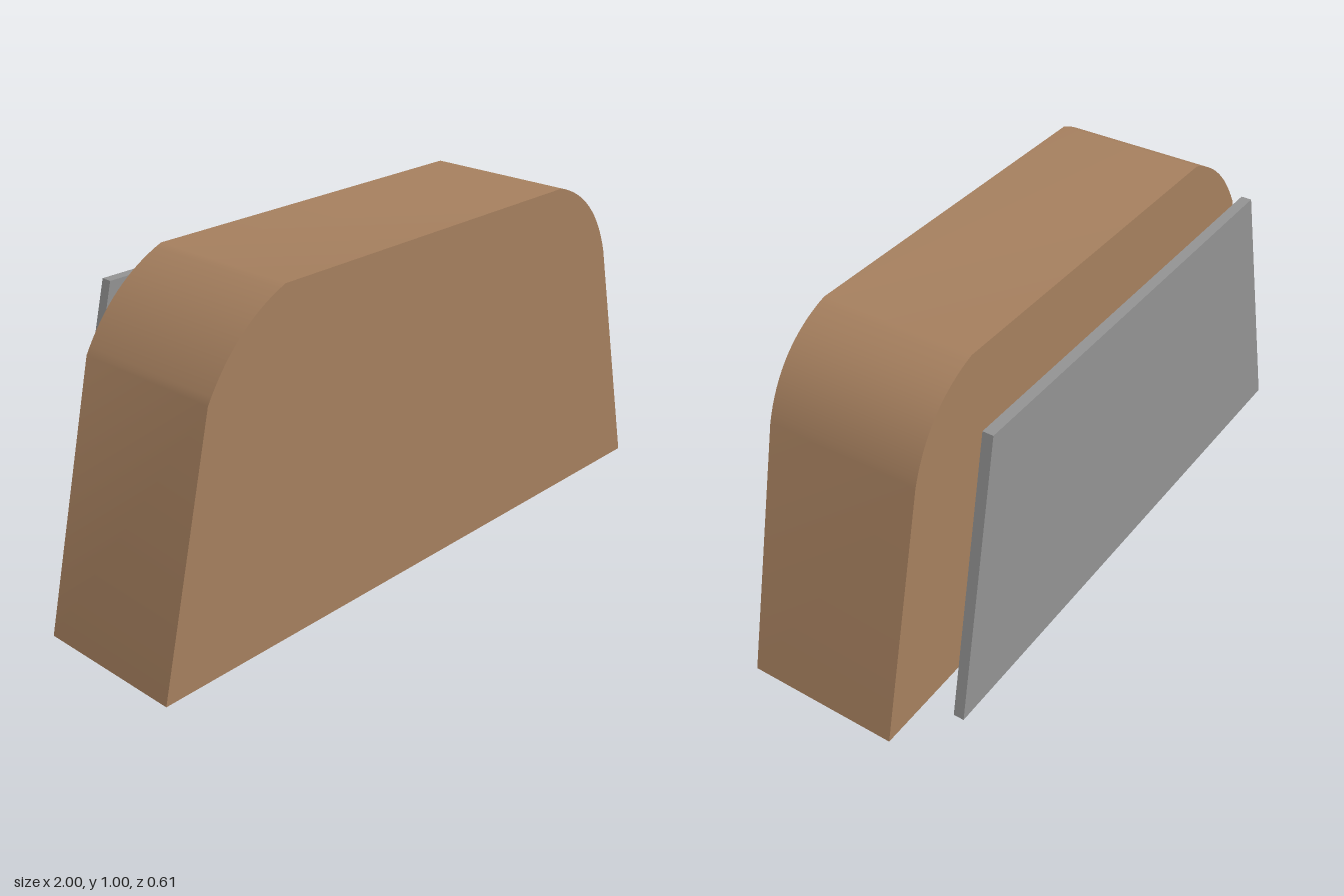
import * as THREE from 'three';
import { toCreasedNormals } from 'three/addons/utils/BufferGeometryUtils.js';

const wood = new THREE.MeshStandardMaterial({ color: 0xa57f5e });
wood.name = 'brown';
const metal = new THREE.MeshStandardMaterial({ color: 0x929292 });
metal.name = 'grey';

// Extrudes an outline from zBack to zFront, smooth on curves and sharp on edges
function slab(name, shape, zBack, zFront, material) {
  const extruded = new THREE.ExtrudeGeometry(shape, {
    depth: zFront - zBack, bevelEnabled: false, curveSegments: 16,
  });
  extruded.translate(0, 0, zBack);
  const mesh = new THREE.Mesh(toCreasedNormals(extruded, 0.5), material);
  mesh.name = name;
  return mesh;
}

export function createModel() {
  const model = new THREE.Group();
  model.name = 'roundedBlockWithBackPlate';

  // Tapered body with rounded shoulders
  const body = new THREE.Shape();
  body.moveTo(-1, 0);
  body.lineTo(1, 0);
  body.lineTo(0.82, 0.75);
  body.quadraticCurveTo(0.758, 0.945, 0.575, 1);
  body.lineTo(-0.56, 1);
  body.quadraticCurveTo(-0.728, 0.934, -0.823, 0.76);
  body.closePath();
  model.add(slab('body', body, -0.16, 0.305, wood));

  // Thin plate floating behind the body
  const plate = new THREE.Shape();
  plate.moveTo(-0.865, 0.04);
  plate.lineTo(0.86, 0.04);
  plate.lineTo(0.69, 0.89);
  plate.lineTo(-0.65, 0.89);
  plate.closePath();
  model.add(slab('backPlate', plate, -0.302, -0.27, metal));

  return model;
}
